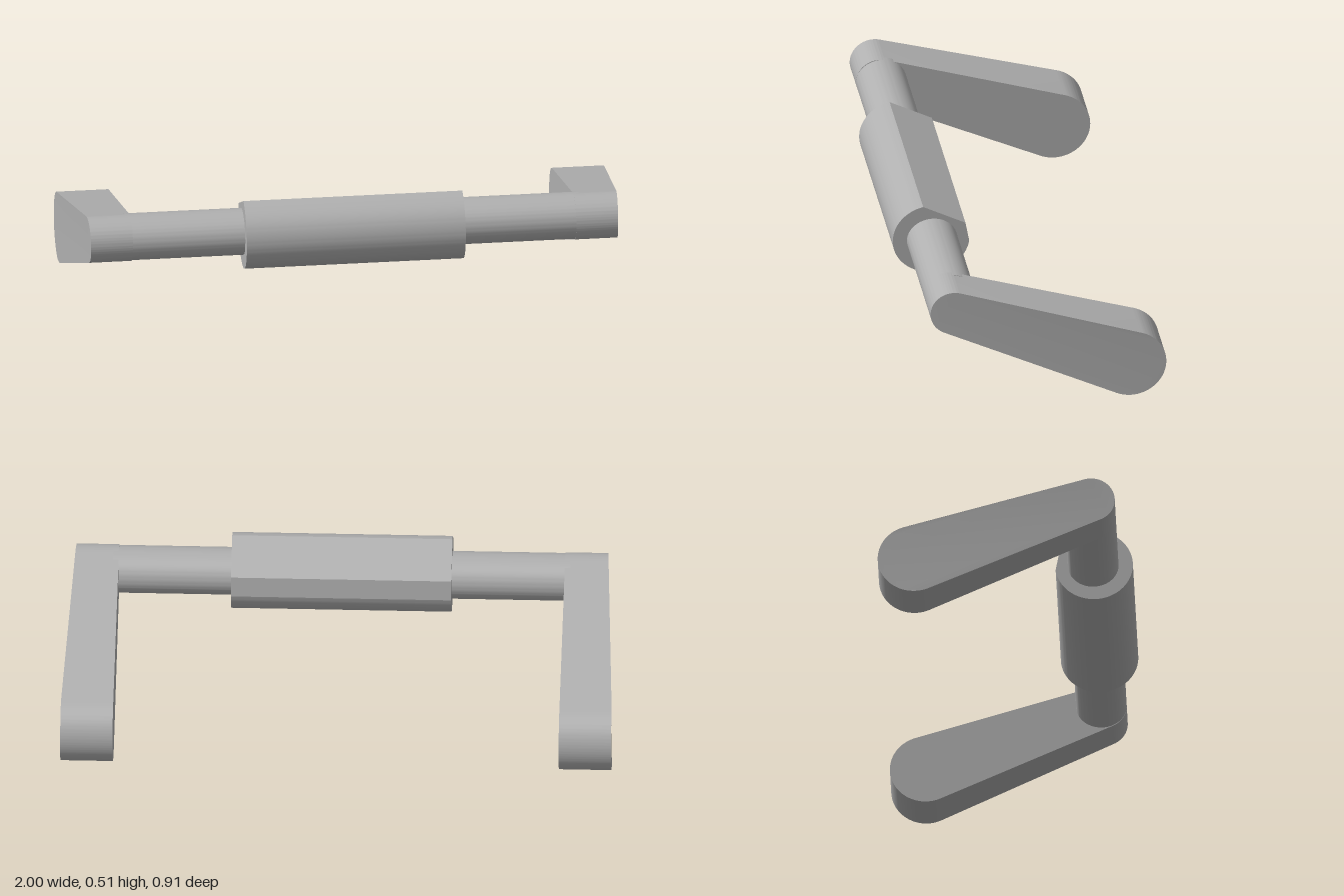
import * as THREE from 'three';
import { toCreasedNormals } from 'three/addons/utils/BufferGeometryUtils.js';

// Extrude a side profile (drawn with u = -z, v = y) along x, from x0 to x1
function extrudeAlongX(shape, x0, x1) {
  const geo = new THREE.ExtrudeGeometry(shape, {
    depth: x1 - x0, bevelEnabled: false, curveSegments: 40,
  });
  geo.rotateY(Math.PI / 2);
  geo.translate(x0, 0, 0);
  return geo;
}

const rad = THREE.MathUtils.degToRad;
const arc = (shape, z, y, rz, ry, from, to) =>
  shape.absellipse(-z, y, rz, ry, rad(from), rad(to), false);

export function createModel() {
  const group = new THREE.Group();
  const grey = new THREE.MeshStandardMaterial({ color: 0xb0b0b0 });
  grey.name = 'plain grey';

  const add = (name, geo) => {
    const mesh = new THREE.Mesh(toCreasedNormals(geo, 0.35), grey);
    mesh.name = name;
    group.add(mesh);
  };

  // Crossbar between the two arms
  const barShape = new THREE.Shape();
  arc(barShape, 0.313, 0.373, 0.092, 0.084, 0, 360);
  add('crossbar', extrudeAlongX(barShape, -0.83, 0.83));

  // Grip sleeve: round below and in front, with a sloped flat and a back corner
  const gripShape = new THREE.Shape();
  arc(gripShape, 0.316, 0.375, 0.141, 0.136, 102, 352);
  gripShape.lineTo(-0.19, 0.43);
  gripShape.closePath();
  add('gripSleeve', extrudeAlongX(gripShape, -0.4, 0.4));

  // Arms: small round nose, large round tail, outer face tapering to the front
  const armShape = new THREE.Shape();
  arc(armShape, 0.32, 0.373, 0.085, 0.085, 75, 245.5);
  arc(armShape, -0.325, 0.13, 0.13, 0.13, -114.5, 75);
  armShape.closePath();
  for (const side of [1, -1]) {
    const geo = side > 0 ? extrudeAlongX(armShape, 0.81, 1) : extrudeAlongX(armShape, -1, -0.81);
    const pos = geo.attributes.position;
    for (let i = 0; i < pos.count; i++) {
      if (Math.abs(pos.getX(i)) < 0.9) continue;
      const t = Math.max(0, (pos.getZ(i) + 0.33) / 0.73);
      pos.setX(i, side * (1 - 0.037 * t));
    }
    add(side > 0 ? 'leftArm' : 'rightArm', geo);
  }

  return group;
}
